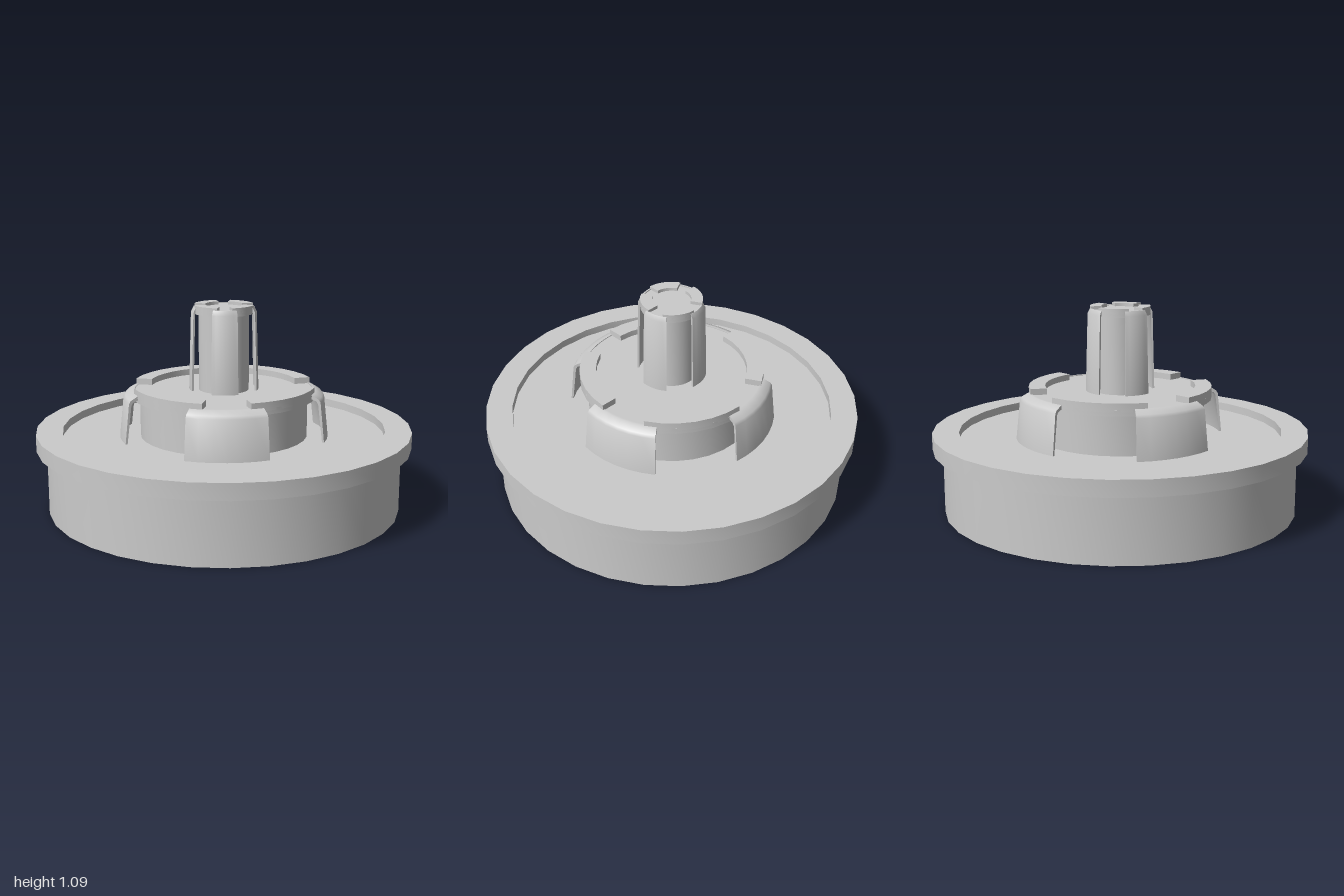
import * as THREE from 'three';
import { toCreasedNormals, mergeGeometries } from 'three/addons/utils/BufferGeometryUtils.js';

const material = new THREE.MeshStandardMaterial({ color: 0xcccccc, side: THREE.DoubleSide });
const rad = THREE.MathUtils.degToRad;
const CREASE = 0.75;

function addMesh(group, name, geometry) {
  const mesh = new THREE.Mesh(geometry, material);
  mesh.name = name;
  group.add(mesh);
}

const toPoints = (profile) => profile.map(([r, y]) => new THREE.Vector2(r, y));

// Full turned part from an (r, y) profile
function turned(profile, sides) {
  return toCreasedNormals(new THREE.LatheGeometry(toPoints(profile), sides), CREASE);
}

// Closed (r, y) profile swept through part of a turn, with both ends capped
function sector(profile, centre, half, steps) {
  const points = toPoints(profile);
  const start = centre - half;
  const sweep = new THREE.LatheGeometry([...points, points[0].clone()], steps, start, half * 2);
  const caps = [start, centre + half].map((angle, i) => {
    const cap = new THREE.ShapeGeometry(new THREE.Shape(points));
    // turn the far cap to face outwards
    if (i === 1) cap.index.array.reverse();
    return cap.rotateY(angle - Math.PI / 2).toNonIndexed();
  });
  return toCreasedNormals(mergeGeometries([sweep.toNonIndexed(), ...caps]), CREASE);
}

// Four hanging clips on the axes, with raised rim pieces between them
function addCrown(group, name, clipProfile, rimProfile) {
  for (let i = 0; i < 4; i++) {
    const axis = i * Math.PI / 2;
    addMesh(group, name + 'Clip', sector(clipProfile, axis, rad(22.3), 6));
    addMesh(group, name + 'Rim', sector(rimProfile, axis + Math.PI / 4, rad(30.5), 6));
  }
}

export function createModel() {
  const model = new THREE.Group();
  model.name = 'capWithClips';

  // Base drum, flange and shallow recessed floor
  addMesh(model, 'base', turned([
    [0, 0], [0.945, 0], [0.945, 0.345], [1, 0.345], [1, 0.43],
    [0.86, 0.43], [0.86, 0.387], [0, 0.387],
  ], 32));

  // Pedestal with overhanging plate
  const pedestal = new THREE.Group();
  pedestal.name = 'pedestal';
  addMesh(pedestal, 'pedestalBody', turned([
    [0.447, 0.387], [0.447, 0.6], [0.487, 0.6], [0.487, 0.632], [0, 0.632],
  ], 32));
  addCrown(pedestal, 'pedestal',
    [[0.547, 0.387], [0.558, 0.387], [0.535, 0.6], [0.525, 0.615], [0.487, 0.636], [0.475, 0.636],
      [0.475, 0.618], [0.512, 0.605], [0.522, 0.59]],
    [[0.4, 0.62], [0.487, 0.62], [0.487, 0.665], [0.4, 0.665]]);
  model.add(pedestal);

  // Central post, the same scheme at a smaller size
  const post = new THREE.Group();
  post.name = 'post';
  addMesh(post, 'postBody', turned([
    [0.133, 0.62], [0.133, 1.042], [0.16, 1.042], [0.16, 1.07], [0, 1.07],
  ], 32));
  addCrown(post, 'post',
    [[0.174, 0.637], [0.185, 0.637], [0.173, 1.05], [0.16, 1.075], [0.152, 1.075],
      [0.152, 1.06], [0.163, 1.045]],
    [[0.1, 1.06], [0.16, 1.06], [0.16, 1.087], [0.1, 1.087]]);
  model.add(post);

  return model;
}
